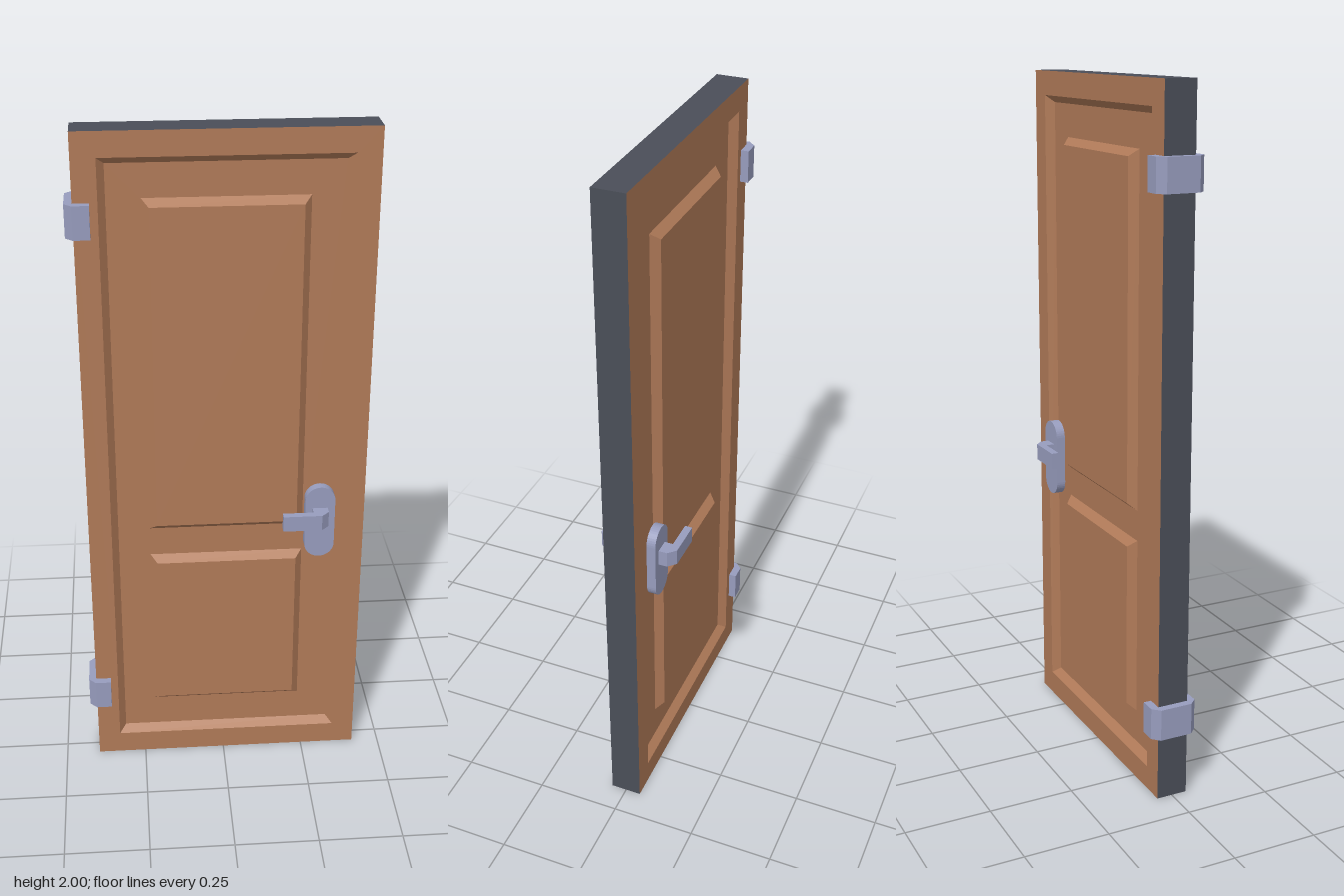
import * as THREE from 'three';

const wood = new THREE.MeshStandardMaterial({ name: 'brown wood', color: 0xb07a58 });
const dark = new THREE.MeshStandardMaterial({ name: 'dark edge', color: 0x4a4e58 });
const metal = new THREE.MeshStandardMaterial({ name: 'blue grey metal', color: 0x979cbd });

const HALF = 0.046;   // half the door thickness
const FLOOR = 0.023;  // z of the recessed field
const BEVEL = 0.02;

const rect = (x0, y0, x1, y1) => [[x0, y0], [x1, y0], [x1, y1], [x0, y1]];
const inset = ([a, , c], d) => rect(a[0] + d, a[1] + d, c[0] - d, c[1] - d);
const toPoints = (list) => list.map(([x, y]) => new THREE.Vector2(x, y));

const DOOR = rect(-0.397, 0, 0.417, 2);
const FIELD = rect(-0.33, 0.07, 0.35, 1.93);
const PANELS = { upperPanel: rect(-0.217, 0.81, 0.237, 1.815), lowerPanel: rect(-0.217, 0.19, 0.237, 0.72) };

// Four flat quads joining one rectangle to another
function ring(a, za, b, zb) {
  const pos = [];
  for (let i = 0; i < 4; i++) {
    const j = (i + 1) % 4;
    const q = [[...a[i], za], [...a[j], za], [...b[j], zb], [...b[i], zb]];
    for (const k of [0, 1, 2, 0, 2, 3]) pos.push(...q[k]);
  }
  const g = new THREE.BufferGeometry();
  g.setAttribute('position', new THREE.Float32BufferAttribute(pos, 3));
  g.computeVertexNormals();
  return g;
}

// Flat sheet facing +z, with optional rectangular holes
function sheet(outline, z, holes = []) {
  const s = new THREE.Shape(toPoints(outline));
  s.holes = holes.map((h) => new THREE.Path(toPoints(h)));
  return new THREE.ShapeGeometry(s).toNonIndexed().translate(0, 0, z);
}

// Mirror a non-indexed geometry through z = 0 and restore its winding
function mirrorZ(g) {
  const p = g.attributes.position;
  for (let i = 0; i < p.count; i += 3) {
    const [a, b, c] = [0, 1, 2].map((k) => new THREE.Vector3().fromBufferAttribute(p, i + k));
    [a, c, b].forEach((v, k) => p.setXYZ(i + k, v.x, v.y, -v.z));
  }
  g.computeVertexNormals();
  return g;
}

// Extrude an outline given in x and z upwards from y0 to y1
function upright(points, y0, y1) {
  const s = new THREE.Shape(toPoints(points.map(([x, z]) => [x, -z])));
  return new THREE.ExtrudeGeometry(s, { depth: y1 - y0, bevelEnabled: false })
    .rotateX(-Math.PI / 2).translate(0, y0, 0);
}

function add(parent, name, geometry, material) {
  const m = new THREE.Mesh(geometry, material);
  m.name = name;
  parent.add(m);
}

export function createModel() {
  const door = new THREE.Group();
  door.name = 'door';

  add(door, 'doorEdges', ring(DOOR, -HALF, DOOR, HALF), dark);

  for (const side of [1, -1]) {
    const face = new THREE.Group();
    face.name = side > 0 ? 'frontFace' : 'backFace';
    door.add(face);
    const put = (name, g) => add(face, name, side > 0 ? g : mirrorZ(g), wood);

    // Flat border, sloping recess and sunken field
    put('border', ring(DOOR, HALF, FIELD, HALF));
    put('recessBevel', ring(FIELD, HALF, inset(FIELD, BEVEL), FLOOR));
    put('field', sheet(inset(FIELD, BEVEL), FLOOR, Object.values(PANELS)));

    // Raised panels
    for (const [name, base] of Object.entries(PANELS)) {
      put(name + 'Bevel', ring(base, FLOOR, inset(base, BEVEL), HALF));
      put(name, sheet(inset(base, BEVEL), HALF));
    }

    // Rounded handle plate
    const r = 0.044;
    const plate = new THREE.Shape();
    plate.absarc(0.283, 0.952 - r, r, 0, Math.PI);
    plate.absarc(0.283, 0.72 + r, r, Math.PI, Math.PI * 2);
    const plateGeo = new THREE.ExtrudeGeometry(plate, { depth: 0.027, bevelEnabled: false, curveSegments: 10 });
    plateGeo.translate(0, 0, side > 0 ? 0.042 : -0.069);
    add(face, 'handlePlate', plateGeo, metal);

    // Lever with a chamfered bend
    const lever = [[0.26, 0.06], [0.305, 0.06], [0.305, 0.094], [0.283, 0.116],
      [0.17, 0.116], [0.17, 0.094], [0.26, 0.094]];
    add(face, 'handleLever', upright(lever.map(([x, z]) => [x, z * side]), 0.836, 0.884), metal);
  }

  // Hinge brackets wrapping the edge
  const half = [[-0.352, HALF - 0.002], [-0.352, 0.069], [-0.398, 0.069], [-0.419, 0.048]];
  const bracket = [...half, ...half.map(([x, z]) => [x, -z]).reverse(),
    [-0.396, -HALF + 0.002], [-0.396, HALF - 0.002]];
  [['lowerHinge', 0.195], ['upperHinge', 1.718]].forEach(([name, y]) =>
    add(door, name, upright(bracket, y, y + 0.093), metal));

  return door;
}
